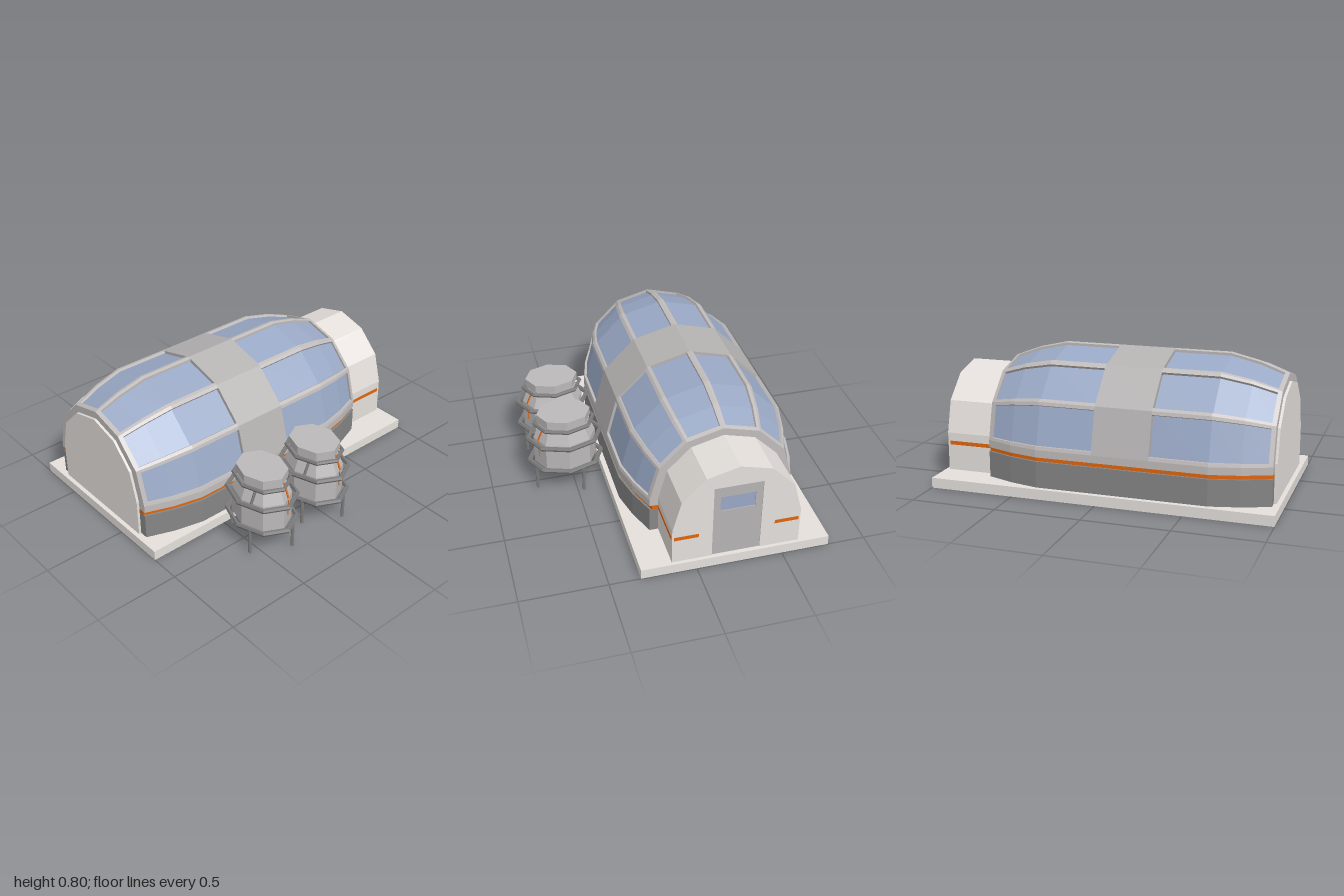
import * as THREE from 'three';

const mat = (name, color, opts = {}) => {
  const m = new THREE.MeshStandardMaterial({ color, ...opts });
  m.name = name;
  return m;
};
const CX = -0.23, CY = 0.28; // axis of the vault
// Plan of the vault: z station and half width
const STATIONS = [[-0.69, 0.42], [-0.53, 0.48], [-0.36, 0.52], [0.63, 0.52], [0.8, 0.48], [0.96, 0.42]];

function radiusAt(z) {
  for (let i = 1; i < STATIONS.length; i++) {
    const [z0, r0] = STATIONS[i - 1], [z1, r1] = STATIONS[i];
    if (z <= z1) return r0 + (r1 - r0) * (z - z0) / (z1 - z0);
  }
  return STATIONS[STATIONS.length - 1][1];
}

// Point on the six-sided vault: s runs 0..6 over the arch
function vaultPoint(s, z, inset) {
  const k = Math.min(5, Math.max(0, Math.floor(s))), f = s - k, r = radiusAt(z) - inset;
  const a = k * Math.PI / 6, b = (k + 1) * Math.PI / 6;
  return [CX + r * (Math.cos(a) * (1 - f) + Math.cos(b) * f), CY + r * (Math.sin(a) * (1 - f) + Math.sin(b) * f), z];
}

// Closed curved slab lying on the vault
function vaultSlab(sa, sb, za, zb, outer, inner) {
  const between = (a, b, list) => [a, ...list.filter(v => v > a + 1e-4 && v < b - 1e-4), b];
  const S = between(sa, sb, [1, 2, 3, 4, 5]), Z = between(za, zb, STATIONS.map(p => p[0]));
  const pos = [];
  const quad = (a, b, c, d) => pos.push(...a, ...b, ...c, ...a, ...c, ...d);
  const O = (s, z) => vaultPoint(s, z, outer), I = (s, z) => vaultPoint(s, z, inner);
  for (let i = 1; i < S.length; i++) {
    const s0 = S[i - 1], s1 = S[i];
    for (let j = 1; j < Z.length; j++) {
      const z0 = Z[j - 1], z1 = Z[j];
      quad(O(s0, z0), O(s1, z0), O(s1, z1), O(s0, z1));
      quad(I(s0, z0), I(s0, z1), I(s1, z1), I(s1, z0));
    }
    quad(O(s0, za), I(s0, za), I(s1, za), O(s1, za));
    quad(O(s0, zb), O(s1, zb), I(s1, zb), I(s0, zb));
  }
  for (let j = 1; j < Z.length; j++) {
    const z0 = Z[j - 1], z1 = Z[j];
    quad(O(sa, z0), O(sa, z1), I(sa, z1), I(sa, z0));
    quad(O(sb, z0), I(sb, z0), I(sb, z1), O(sb, z1));
  }
  const g = new THREE.BufferGeometry();
  g.setAttribute('position', new THREE.Float32BufferAttribute(pos, 3));
  g.computeVertexNormals();
  return g;
}

// Straight wall following the plan of the vault
function planWall(y0, y1, inset) {
  const right = STATIONS.map(([z, r]) => new THREE.Vector2(CX + r - inset, -z));
  const left = STATIONS.map(([z, r]) => new THREE.Vector2(CX - r + inset, -z)).reverse();
  const g = new THREE.ExtrudeGeometry(new THREE.Shape([...right, ...left]), { depth: y1 - y0, bevelEnabled: false });
  return g.rotateX(-Math.PI / 2).translate(0, y0, 0);
}

const rect = (x0, x1, y0, y1) => [[x0, y0], [x1, y0], [x1, y1], [x0, y1]].map(p => new THREE.Vector2(...p));
const plate = (shape, z0, z1) => new THREE.ExtrudeGeometry(shape, { depth: z1 - z0, bevelEnabled: false }).translate(0, 0, z0);

// Outline of the inner hall, with an optional doorway notch
function hallShape(doorHalf, doorTop) {
  const p = [[CX - 0.37, 0.06]];
  if (doorHalf) p.push([CX - doorHalf, 0.06], [CX - doorHalf, doorTop], [CX + doorHalf, doorTop], [CX + doorHalf, 0.06]);
  p.push([CX + 0.37, 0.06]);
  for (let k = 0; k <= 6; k++) {
    const a = k * Math.PI / 6;
    p.push([CX + 0.37 * Math.cos(a), 0.285 + 0.37 * Math.sin(a)]);
  }
  return new THREE.Shape(p.map(q => new THREE.Vector2(...q)));
}

export function createModel() {
  const light = mat('pale concrete', 0xe5e0dc);
  const frame = mat('frame grey', 0xc1bdbc);
  const panel = mat('panel grey', 0xb6b3b3);
  const wall = mat('dark wall grey', 0x868686);
  const glass = mat('blue glass', 0x9aa9c6);
  const orange = mat('orange', 0xe0660e);
  const steel = mat('tank grey', 0xbcb9ba, { flatShading: true });
  const dark = mat('dark steel', 0x7c7c7c, { flatShading: true });

  const model = new THREE.Group();
  const add = (name, geo, m, parent = model) => {
    const mesh = new THREE.Mesh(geo, m);
    mesh.name = name;
    parent.add(mesh);
    return mesh;
  };
  const box = (name, x0, x1, y0, y1, z0, z1, m, parent) =>
    add(name, new THREE.BoxGeometry(x1 - x0, y1 - y0, z1 - z0).translate((x0 + x1) / 2, (y0 + y1) / 2, (z0 + z1) / 2), m, parent);

  // Hollow foundation tray with ribs beneath
  box('baseSlab', -0.78, 0.32, 0.052, 0.06, -1, 1, light);
  for (const x of [-0.78, 0.314]) box('baseRim', x, x + 0.006, 0, 0.052, -1, 1, light);
  for (const z of [-1, 0.994]) box('baseRim', -0.774, 0.314, 0, 0.052, z, z + 0.006, light);
  for (const x of [-0.62, CX, 0.16]) box('baseBeam', x - 0.01, x + 0.01, 0.002, 0.052, -0.65, 0.9, light);
  for (const z of [-0.64, 0.135, 0.89]) box('baseCrossBeam', -0.62, 0.16, 0.002, 0.052, z - 0.01, z + 0.01, light);

  // Inner hall: front wall, rear porch and the porch face with its doorway
  add('hall', plate(hallShape(), -0.966, 0.975), light);
  add('porchFace', plate(hallShape(0.14, 0.53), -0.98, -0.966), light);

  // Lower walls and stripe
  add('lowerWall', planWall(0.06, 0.212, 0), wall);
  add('stripe', planWall(0.212, 0.237, 0.013), orange);
  add('sill', planWall(0.237, CY, 0), frame);

  // Glazed vault
  const w = 0.075;
  add('midBand', vaultSlab(0, 6, -0.03, 0.3, 0, 0.06), panel);
  for (const [z0, z1] of [[-0.69, -0.03], [0.3, 0.96]]) {
    add('glazing', vaultSlab(0, 6, z0 + 0.005, z1 - 0.005, 0.015, 0.04), glass);
    for (let k = 0; k <= 6; k++)
      add('rib', vaultSlab(Math.max(0, k - w), Math.min(6, k + w), z0, z1, 0, 0.03), frame);
  }
  for (const z of [-0.69, 0.936]) add('endArch', vaultSlab(0, 6, z, z + 0.024, 0, 0.06), frame);

  // Porch stripes
  for (const s of [-1, 1]) {
    const x = CX + s * 0.37;
    box('porchSideStripe', x - 0.002, x + 0.002, 0.214, 0.236, -0.965, -0.69, orange);
    const a = CX + s * 0.36, b = CX + s * 0.22;
    box('porchBackStripe', Math.min(a, b), Math.max(a, b), 0.214, 0.236, -0.982, -0.978, orange);
  }

  // Recessed rear door with a sunken window
  const door = new THREE.Group();
  door.name = 'door';
  model.add(door);
  const leaf = new THREE.Shape(rect(CX - 0.14, CX + 0.14, 0.06, 0.53));
  leaf.holes.push(new THREE.Path(rect(CX - 0.1, CX + 0.1, 0.365, 0.46)));
  add('doorPanel', plate(leaf, -0.974, -0.966), panel, door);
  box('doorWindow', CX - 0.1, CX + 0.1, 0.365, 0.46, -0.969, -0.966, glass, door);

  // Octagonal tanks on legs, with hoops standing clear of the body
  for (const z of [0, 0.4]) {
    const tank = new THREE.Group();
    tank.name = 'tank';
    tank.position.set(0.54, 0, z);
    model.add(tank);
    const drum = (name, rTop, rBottom, y0, y1, m) => add(name,
      new THREE.CylinderGeometry(rTop, rBottom, y1 - y0, 8).scale(1, 1, 0.81).translate(0, (y0 + y1) / 2, 0), m, tank);
    drum('tankBody', 0.188, 0.188, 0.155, 0.33, steel);
    drum('tankShoulder', 0.145, 0.188, 0.33, 0.425, steel);
    drum('tankCap', 0.162, 0.162, 0.44, 0.488, steel);
    drum('tankNeck', 0.15, 0.15, 0.42, 0.44, steel);
    for (const [r, y, t] of [[0.221, 0.166, 0.016], [0.221, 0.327, 0.015], [0.179, 0.428, 0.013]])
      add('tankRing', new THREE.TorusGeometry(r, t, 6, 8).rotateX(Math.PI / 2).scale(1, 1, 0.81).translate(0, y, 0), dark, tank);
    for (let k = 0; k < 4; k++) {
      const a = Math.PI / 8 + k * Math.PI / 2;
      add('tankLeg', new THREE.CylinderGeometry(0.01, 0.01, 0.165, 6)
        .translate(0.205 * Math.sin(a), 0.0825, 0.17 * Math.cos(a)), dark, tank);
    }
    // Slim level mark down the shoulder and body
    const mark = box('levelMark', -0.003, 0.003, -0.045, 0.045, -0.005, 0.005, orange, tank);
    mark.position.set(0.149, 0.378, -0.048);
    mark.rotation.z = 0.42;
    box('levelMarkLower', 0.16, 0.168, 0.22, 0.32, -0.05, -0.046, orange, tank);
    // Filler pipe on the front of the shoulder
    const pipe = add('fillerPipe', new THREE.CylinderGeometry(0.008, 0.008, 0.11, 6), dark, tank);
    pipe.position.set(0.07, 0.37, 0.125);
    pipe.rotation.x = -0.4;
  }
  return model;
}
